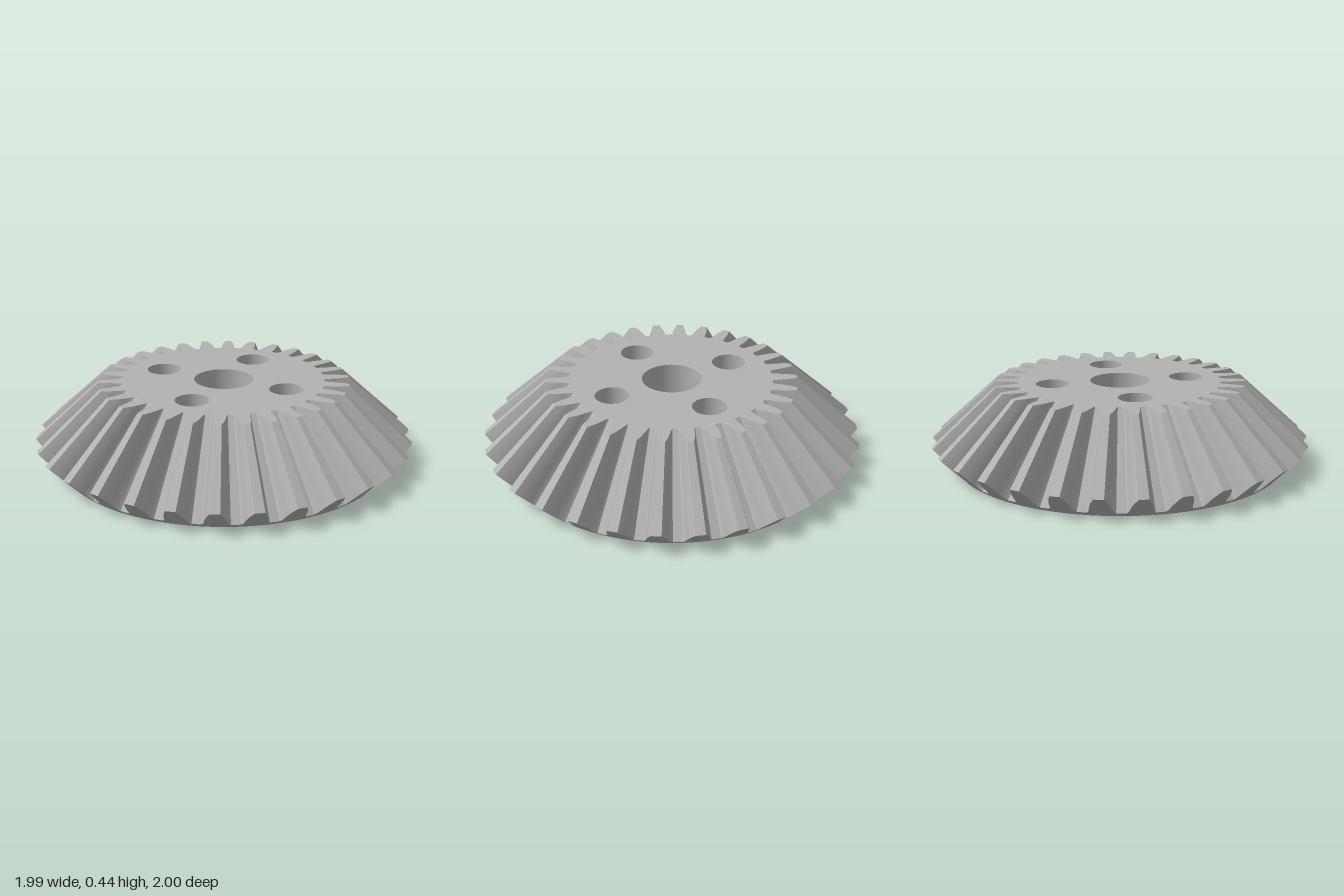
import * as THREE from 'three';
import { toCreasedNormals } from 'three/addons/utils/BufferGeometryUtils.js';

const TEETH = 30, TOP = 0.435, APEX = 1.04;
const BASE_R = 0.875, ROOT_R = 0.895, ROOT_Y = 0.02, TIP_R = 1.0, TIP_Y = 0.125;
const BORE_R = 0.157, BOLT_R = 0.089, BOLT_CIRCLE = 0.36;

// tooth flank from root to tip: [height fraction, half width]
const FLANK = [[0, 0.07], [0.1, 0.06], [0.4, 0.053], [0.7, 0.043], [1, 0.025]];

// outline around the gear at its large end, as angle, radius and height
function largeEnd() {
  const pts = [], pitch = (2 * Math.PI) / TEETH;
  const add = (a, h) => pts.push({
    a, r: ROOT_R + (TIP_R - ROOT_R) * h, y: ROOT_Y + (TIP_Y - ROOT_Y) * h,
  });
  const half = ([h, w]) => w / (ROOT_R + (TIP_R - ROOT_R) * h);
  for (let t = 0; t < TEETH; t++) {
    const mid = t * pitch;
    FLANK.forEach(f => add(mid - half(f), f[0]));
    [...FLANK].reverse().forEach(f => add(mid + half(f), f[0]));
    add(mid + pitch / 2, 0);
  }
  return pts;
}

// closed strip between two rings, lower ring first
function strip(lower, upper) {
  const pos = [], n = lower.length;
  const put = p => pos.push(p.r * Math.sin(p.a), p.y, p.r * Math.cos(p.a));
  for (let i = 0; i < n; i++) {
    const j = (i + 1) % n;
    [lower[i], lower[j], upper[j], lower[i], upper[j], upper[i]].forEach(put);
  }
  const geo = new THREE.BufferGeometry();
  geo.setAttribute('position', new THREE.Float32BufferAttribute(pos, 3));
  return toCreasedNormals(geo, Math.PI / 7);
}

// centre bore and four bolt holes: [x, z, radius]
const HOLES = [[0, 0, BORE_R]];
for (let i = 0; i < 4; i++) {
  const a = (i * Math.PI) / 2;
  HOLES.push([BOLT_CIRCLE * Math.cos(a), BOLT_CIRCLE * Math.sin(a), BOLT_R]);
}

// flat face with the holes cut out
function face(ring, up) {
  const shape = new THREE.Shape(ring.map(p =>
    new THREE.Vector2(p.r * Math.sin(p.a), (up ? -1 : 1) * p.r * Math.cos(p.a))));
  HOLES.forEach(([x, z, r]) => {
    const hole = new THREE.Path();
    hole.absarc(x, up ? -z : z, r, 0, 2 * Math.PI, true);
    shape.holes.push(hole);
  });
  return new THREE.ShapeGeometry(shape, 24).rotateX(up ? -Math.PI / 2 : Math.PI / 2);
}

export function createModel() {
  const gear = new THREE.Group();
  gear.name = 'bevelGear';
  const steel = new THREE.MeshStandardMaterial({ color: 0xb2b2b2, side: THREE.DoubleSide });
  steel.name = 'steelGrey';
  const add = (name, geo, x = 0, y = 0, z = 0) => {
    const mesh = new THREE.Mesh(geo, steel);
    mesh.name = name;
    mesh.position.set(x, y, z);
    gear.add(mesh);
  };

  // the teeth taper along lines that meet at the cone apex
  const back = largeEnd();
  const rim = back.map(p => ({ a: p.a, r: BASE_R, y: 0 }));
  const top = back.map(p => ({ a: p.a, r: p.r * (APEX - TOP) / (APEX - p.y), y: TOP }));

  add('toothedCone', strip(back, top));
  add('backCone', strip(rim, back));
  add('topFace', face(top, true), 0, TOP, 0);
  add('bottomFace', face(rim, false));

  // hole walls
  HOLES.forEach(([x, z, r], i) => add(i ? 'boltHole' + i : 'centreBore',
    new THREE.CylinderGeometry(r, r, TOP, 48, 1, true), x, TOP / 2, z));
  return gear;
}
